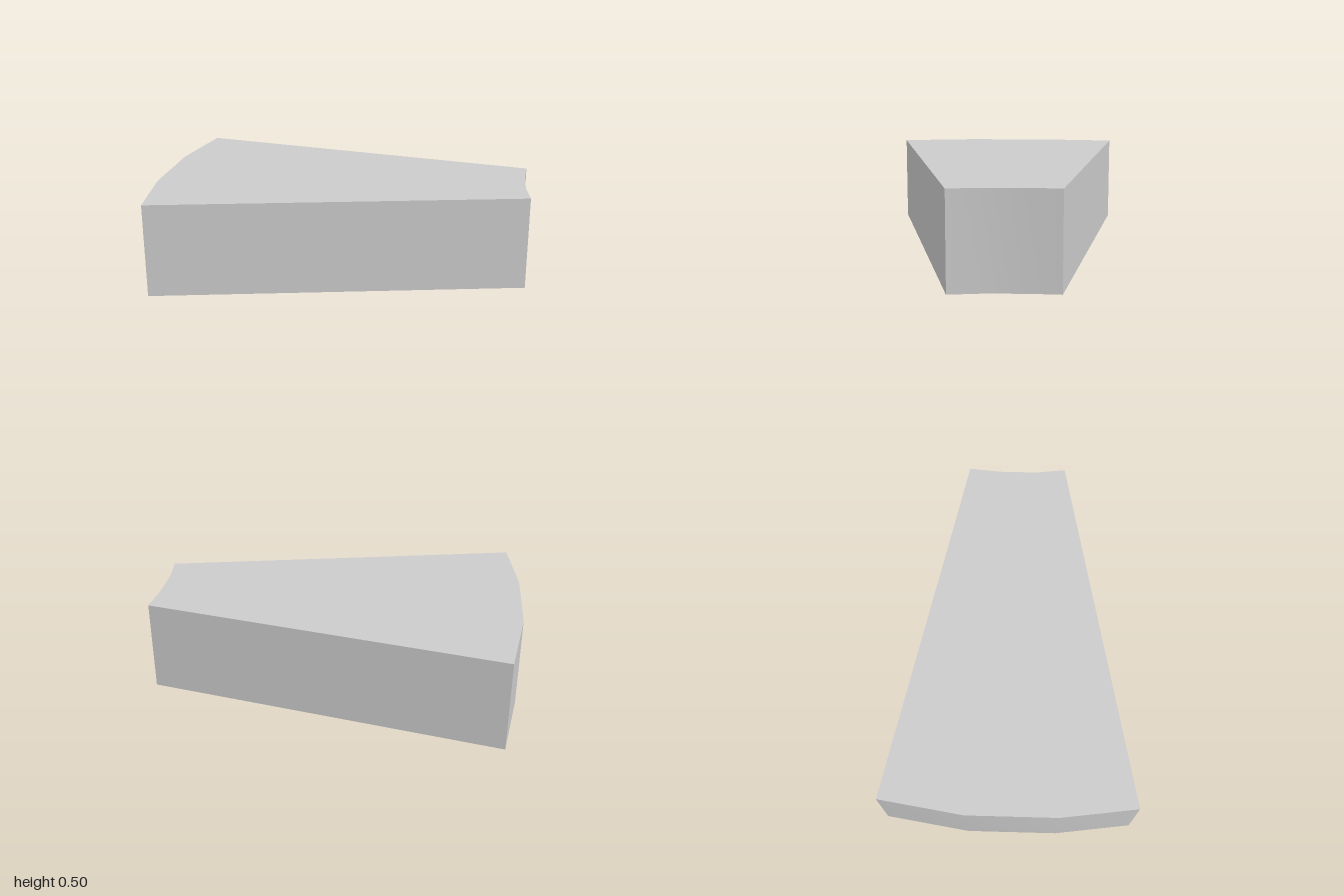
import * as THREE from 'three';
import { toCreasedNormals } from 'three/addons/utils/BufferGeometryUtils.js';

export function createModel() {
  const group = new THREE.Group();
  group.name = 'archStone';

  // Plan outline (x, z): wide convex end, then narrow concave end
  const outline = [
    [-0.93, -0.67], [-1, -0.22], [-1, 0.26], [-0.945, 0.667],
    [1, 0.27], [0.98, 0.105], [0.98, -0.105], [0.995, -0.273],
  ];
  const shape = new THREE.Shape(outline.map(([x, z]) => new THREE.Vector2(x, -z)));

  // Raise the outline into a block, softening only the shallow bends of the ends
  const geometry = new THREE.ExtrudeGeometry(shape, { depth: 0.5, bevelEnabled: false });
  geometry.rotateX(-Math.PI / 2);
  const block = new THREE.Mesh(
    toCreasedNormals(geometry, 0.5),
    new THREE.MeshStandardMaterial({ color: 0xcccccc })
  );
  block.name = 'wedgeBlock';
  group.add(block);
  return group;
}
